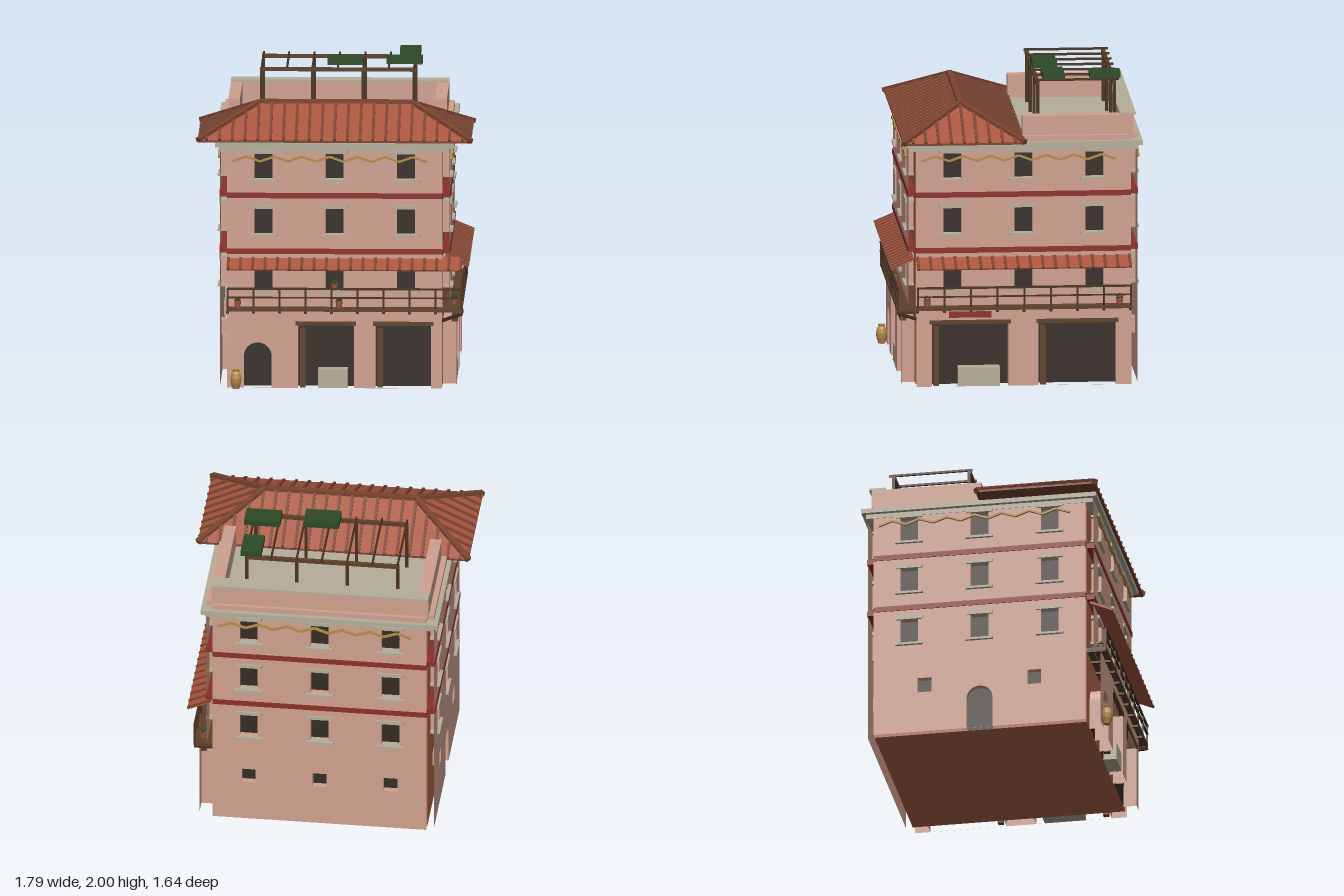
import * as THREE from 'three';

const COL = {
  wall: 0xd0a18f, skin: 0xd0a18f, core: 0xb0644a, stone: 0xb6ae9a, dark: 0x352c26, red: 0x8c2f2b, tile: 0xa9553f,
  rib: 0x7a432f, wood: 0x5e4029, darkWood: 0x49301f, tan: 0xb58a48, green: 0x2b4a25, pot: 0xa4553c,
};
const mats = {};
for (const k in COL) mats[k] = new THREE.MeshStandardMaterial({ color: COL[k], flatShading: true });
mats.skin.side = THREE.DoubleSide;

function add(parent, name, geo, mat) {
  const m = new THREE.Mesh(geo, mats[mat]);
  m.name = name;
  parent.add(m);
  return m;
}
// box given by its minimum and maximum on each axis
function box(p, name, mat, x0, x1, y0, y1, z0, z1) {
  const m = add(p, name, new THREE.BoxGeometry(x1 - x0, y1 - y0, z1 - z0), mat);
  m.position.set((x0 + x1) / 2, (y0 + y1) / 2, (z0 + z1) / 2);
  return m;
}
// square bar between two points
function beam(p, name, mat, a, b, w, h = w) {
  const A = new THREE.Vector3(...a), B = new THREE.Vector3(...b);
  const m = add(p, name, new THREE.BoxGeometry(w, h, A.distanceTo(B)), mat);
  m.position.copy(A).lerp(B, 0.5);
  m.quaternion.setFromRotationMatrix(new THREE.Matrix4().lookAt(B, A, m.up));
  return m;
}
function trianglesGeo(pts) {
  const g = new THREE.BufferGeometry();
  g.setAttribute('position', new THREE.Float32BufferAttribute(pts.flat(), 3));
  g.computeVertexNormals();
  return g;
}
const rect = (x0, x1, y0, y1) => [[x0, y0], [x1, y0], [x1, y1], [x0, y1]].map(q => new THREE.Vector2(...q));
function arch(cx, r, spring) {
  const pts = [new THREE.Vector2(cx - r, 0), new THREE.Vector2(cx + r, 0)];
  for (let i = 0; i <= 14; i++) {
    const a = Math.PI * i / 14;
    pts.push(new THREE.Vector2(cx + r * Math.cos(a), spring + r * Math.sin(a)));
  }
  return pts;
}

const HALF = 0.695, FACE = 0.74, CZ = -0.05;

// stucco skin with openings, reveals and dark panes
function wall(p, y0, y1, z, openings) {
  const shape = new THREE.Shape(rect(-HALF, HALF, y0, y1));
  for (const o of openings) {
    // keep openings that reach the ground just inside the outline
    shape.holes.push(new THREE.Path(o.map(q => new THREE.Vector2(q.x, Math.max(q.y, y0 + 0.001)))));
    const tri = [];
    o.forEach((a, i) => {
      const b = o[(i + 1) % o.length];
      if (a.y === 0 && b.y === 0) return; // doorways have no threshold
      const A = [a.x, a.y, z], B = [b.x, b.y, z], C = [b.x, b.y, HALF], D = [a.x, a.y, HALF];
      tri.push(A, B, C, A, C, D);
    });
    add(p, 'reveal', trianglesGeo(tri), 'skin');
    add(p, 'opening', new THREE.ShapeGeometry(new THREE.Shape(o)), 'dark').position.z = HALF + 0.003;
  }
  add(p, 'wall', new THREE.ShapeGeometry(shape), 'skin').position.z = z;
}

function upperWindows(p) {
  const list = [];
  for (const y of [0.635, 1.0, 1.36]) for (const x of [-0.46, 0, 0.46]) {
    list.push(rect(x - 0.058, x + 0.058, y, y + 0.167));
    box(p, 'windowSill', 'stone', x - 0.09, x + 0.09, y - 0.015, y, HALF, 0.76);
    box(p, 'windowLintel', 'stone', x - 0.085, x + 0.085, y + 0.167, y + 0.19, HALF, 0.752);
  }
  return list;
}

// zigzag string of short flat pieces
function garland(p) {
  const at = i => [-0.66 + 1.255 * i / 28, 1.493 - 0.016 * Math.cos(i * Math.PI / 2), 0.75];
  for (let i = 0; i < 28; i++) beam(p, 'garland', 'tan', at(i), at(i + 1), 0.014, 0.013);
}

function shopDoor(p, x0, x1) {
  box(p, 'doorLintel', 'wood', x0 - 0.015, x1 + 0.015, 0.41, 0.437, 0.75, 0.791);
  box(p, 'doorPost', 'wood', x0 + 0.012, x0 + 0.048, 0, 0.385, 0.72, 0.76);
  return rect(x0, x1, 0, 0.41);
}

function balcony(p, x0, x1) {
  box(p, 'balconyFloor', 'wood', x0, x1, 0.507, 0.525, HALF, 0.825);
  for (const [y, h] of [[0.655, 0.013], [0.597, 0.009]]) {
    box(p, 'balconyRail', 'darkWood', x0, x1, y - h / 2, y + h / 2, 0.812, 0.826);
  }
  const n = Math.round((x1 - x0) / 0.165);
  for (let i = 0; i <= n; i++) {
    const x = x0 + 0.006 + (x1 - x0 - 0.012) * i / n;
    box(p, 'balconyPost', 'darkWood', x - 0.006, x + 0.006, 0.52, 0.655, 0.813, 0.825);
    box(p, 'balconyJoist', 'darkWood', x - 0.009, x + 0.009, 0.492, 0.507, HALF, 0.82);
  }
}

function awning(p, x0, x1) {
  const a = [0.848, 0.715], b = [0.785, 0.863], mid = (x0 + x1) / 2;
  beam(p, 'awning', 'tile', [mid, a[0], a[1]], [mid, b[0], b[1]], x1 - x0, 0.009);
  const n = Math.round((x1 - x0) / 0.082);
  for (let i = 0; i <= n; i++) {
    const x = x0 + 0.01 + (x1 - x0 - 0.02) * i / n;
    beam(p, 'awningRib', 'rib', [x, a[0] + 0.005, a[1]], [x, b[0] + 0.004, b[1] + 0.003], 0.018, 0.011);
  }
}

function pottedPlant(p, x, y, z) {
  const pot = add(p, 'plantPot', new THREE.CylinderGeometry(0.024, 0.018, 0.045, 10), 'pot');
  pot.position.set(x, y + 0.0225, z);
  const leaf = add(p, 'plant', new THREE.IcosahedronGeometry(0.022, 0), 'green');
  leaf.position.set(x, y + 0.052, z);
}

function hipRoof(p) {
  const X = 0.88, R = 0.49, C = 0.342, D = 0.393, Y = 1.62, H = 0.187;
  const a = [-X, Y, C + D], b = [X, Y, C + D], c = [X, Y, C - D], d = [-X, Y, C - D];
  const l = [-R, Y + H, C], r = [R, Y + H, C];
  add(p, 'roof', trianglesGeo([a, b, r, a, r, l, c, d, l, c, l, r, b, c, r, d, a, l]), 'tile');
  box(p, 'roofEave', 'rib', -X, X, Y - 0.014, Y, C - D, C + D);
  // tile ribs on the long slopes, then on the hip ends
  for (const s of [-1, 1]) {
    for (let i = -10; i <= 10; i++) {
      const x = i * 0.0825, t = Math.min(1, (X - Math.abs(x)) / (X - R));
      beam(p, 'roofRib', 'rib', [x, Y, C + s * D], [x, Y + H * t, C + s * D * (1 - t)], 0.018, 0.02);
    }
    for (let i = -4; i <= 4; i++) {
      const z = i * 0.0825, t = 1 - Math.abs(z) / D;
      beam(p, 'roofRib', 'rib', [s * X, Y, C + z], [s * (X + (R - X) * t), Y + H * t, C + z], 0.018, 0.02);
    }
    for (const e of [a, b, c, d]) {
      if (Math.sign(e[0]) === s) beam(p, 'hipCap', 'rib', e, s < 0 ? l : r, 0.036, 0.03);
    }
  }
  beam(p, 'ridgeCap', 'rib', l, r, 0.036, 0.03);
}

function terrace(p) {
  box(p, 'terraceFloor', 'stone', -0.65, 0.65, 1.59, 1.606, -0.72, -0.04);
  for (const s of [-1, 1]) {
    const side = (n, x0, x1, y0, y1, z0) => box(p, n, 'wall', Math.min(s * x0, s * x1), Math.max(s * x0, s * x1), y0, y1, z0, -0.045);
    side('parapetBase', 0.63, 0.74, 1.6, 1.632, -0.745);
    side('sideParapet', 0.63, 0.705, 1.632, 1.757, -0.76);
  }
  box(p, 'parapetBase', 'wall', -HALF, HALF, 1.6, 1.632, -0.79, -0.69);
  box(p, 'backParapet', 'wall', -HALF, HALF, 1.632, 1.757, -0.765, -0.69);
  box(p, 'parapetCap', 'stone', -0.705, 0.705, 1.757, 1.772, -0.78, -0.675);
  // pergola
  for (const z of [-0.16, -0.655]) {
    for (const x of [-0.493, -0.165, 0.163, 0.49]) {
      box(p, 'pergolaPost', 'darkWood', x - 0.01, x + 0.01, 1.6, 1.925, z - 0.01, z + 0.01);
    }
    box(p, 'pergolaBeam', 'wood', -0.503, 0.5, 1.92, 1.943, z - 0.012, z + 0.012);
  }
  for (let i = -3; i <= 3; i++) {
    box(p, 'pergolaSlat', 'darkWood', i * 0.164 - 0.006, i * 0.164 + 0.006, 1.943, 1.957, -0.685, -0.14);
  }
  for (const [x0, x1, z0, z1] of [[0.39, 0.525, -0.695, -0.495], [-0.068, 0.162, -0.31, -0.152], [0.312, 0.545, -0.332, -0.19]]) {
    box(p, 'foliage', 'green', x0, x1, 1.962, 2.0, z0, z1);
  }
}

export function createModel() {
  const g = new THREE.Group();
  g.name = 'building';
  // four facades sharing one local frame: x along the wall, z outward
  const [front, right, back, left] = ['front', 'right', 'back', 'left'].map((n, i) => {
    const f = new THREE.Group();
    f.name = n + 'Facade';
    f.position.z = CZ;
    f.rotation.y = [0, Math.PI / 2, Math.PI, -Math.PI / 2][i];
    g.add(f);
    garland(f);
    for (const y of [0.87, 1.235]) box(f, 'floorBand', 'red', -HALF, HALF, y, y + 0.035, HALF, 0.745);
    return f;
  });
  const around = (name, mat, r, y0, y1) => box(g, name, mat, -r, r, y0, y1, CZ - r, CZ + r);
  around('core', 'core', HALF, 0, 1.57);
  around('corniceLower', 'stone', 0.743, 1.54, 1.57);
  around('corniceUpper', 'stone', 0.77, 1.57, 1.6);

  // walls
  wall(front, 0.5, 1.57, FACE, upperWindows(front));
  wall(front, 0, 0.51, 0.785, [arch(-0.495, 0.09, 0.207), shopDoor(front, -0.235, 0.125), shopDoor(front, 0.265, 0.625)]);
  wall(right, 0.5, 1.57, FACE, upperWindows(right));
  wall(right, 0, 0.51, 0.785, [shopDoor(right, -0.595, -0.1), shopDoor(right, 0.095, 0.595)]);
  const vent = x => rect(x - 0.045, x + 0.045, 0.28, 0.38);
  wall(back, 0, 1.57, FACE, [...upperWindows(back), ...[-0.46, 0, 0.46].map(vent)]);
  wall(left, 0, 1.57, FACE, [...upperWindows(left), vent(-0.36), vent(0.36), arch(0, 0.085, 0.21)]);

  // shop counters and sign board
  box(front, 'counter', 'stone', -0.105, 0.085, 0, 0.122, HALF, 0.783);
  box(right, 'counter', 'stone', -0.425, -0.155, 0, 0.122, HALF, 0.783);
  box(right, 'signBoard', 'red', -0.485, -0.21, 0.455, 0.493, 0.785, 0.8);

  // balcony and awning wrap two sides
  for (const [f, end] of [[front, 0.828], [right, HALF]]) {
    balcony(f, -HALF, end);
    awning(f, -HALF, end);
  }
  beam(g, 'cornerBrace', 'darkWood', [HALF, 0.43, 0.645], [0.82, 0.495, 0.77], 0.02);

  // plants and jar
  for (const [x, y, z] of [[-0.625, 0.525, 0.725], [0.03, 0.525, 0.725], [0, 0.635, 0.7], [0.77, 0.525, 0.575], [0.77, 0.525, -0.67]]) {
    pottedPlant(g, x, y, z);
  }
  const jar = [[0, 0], [0.022, 0], [0.034, 0.04], [0.037, 0.07], [0.03, 0.1], [0.02, 0.115], [0.024, 0.125], [0, 0.125]];
  add(g, 'jar', new THREE.LatheGeometry(jar.map(q => new THREE.Vector2(...q)), 14), 'tan').position.set(-0.635, 0, 0.768);

  hipRoof(g);
  terrace(g);
  return g;
}
